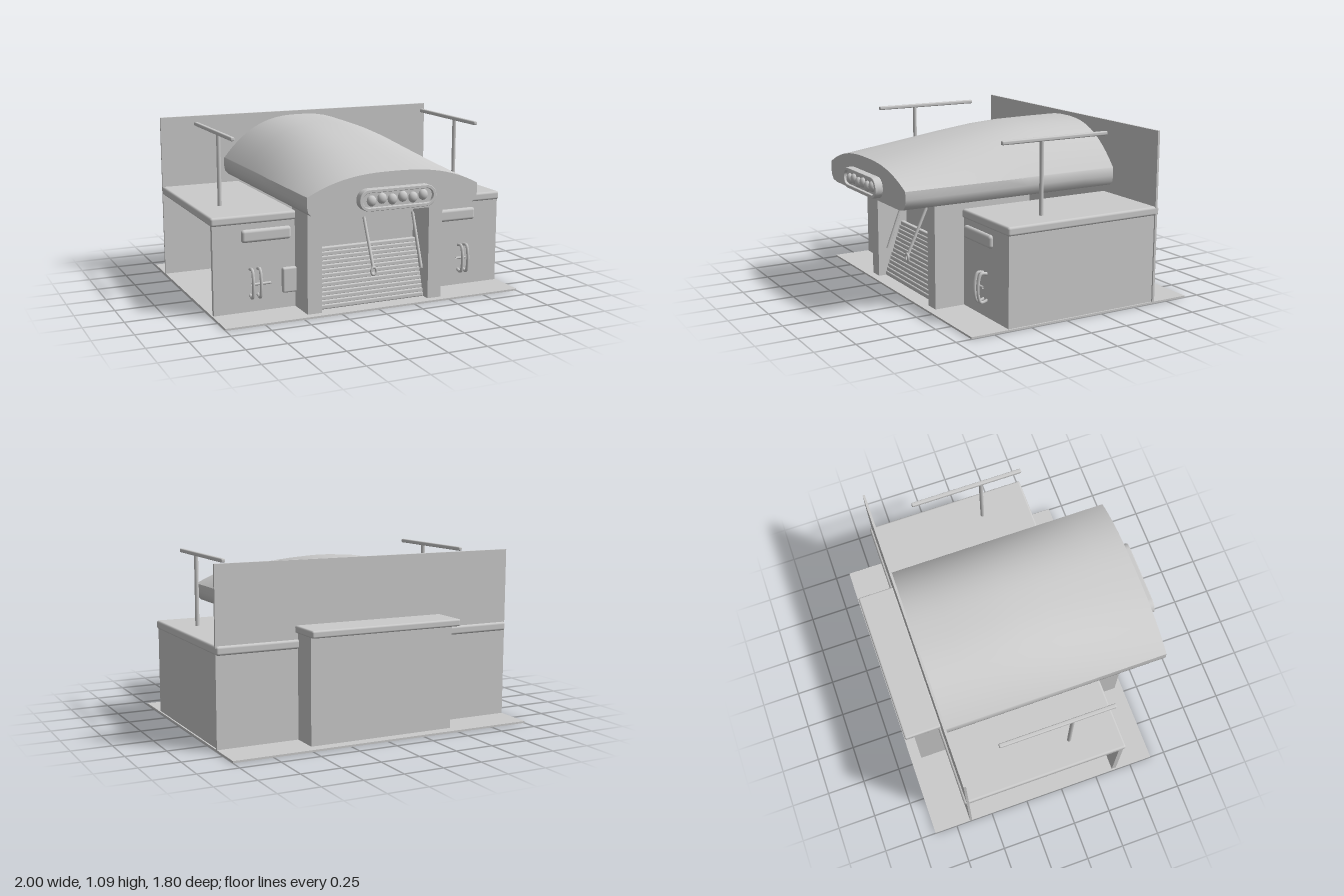
import * as THREE from 'three';
import { RoundedBoxGeometry } from 'three/addons/geometries/RoundedBoxGeometry.js';
import { toCreasedNormals } from 'three/addons/utils/BufferGeometryUtils.js';

const grey = new THREE.MeshStandardMaterial({ color: 0xcccccc, side: THREE.DoubleSide });

export function createModel() {
  const group = new THREE.Group();

  const add = (name, geometry, x = 0, y = 0, z = 0) => {
    const mesh = new THREE.Mesh(geometry, grey);
    mesh.name = name;
    mesh.position.set(x, y, z);
    group.add(mesh);
    return mesh;
  };
  // Box given by its limits, with optional rounded edges
  const box = (name, x0, x1, y0, y1, z0, z1, r = 0) => add(name,
    r ? new RoundedBoxGeometry(x1 - x0, y1 - y0, z1 - z0, 3, r)
      : new THREE.BoxGeometry(x1 - x0, y1 - y0, z1 - z0),
    (x0 + x1) / 2, (y0 + y1) / 2, (z0 + z1) / 2);
  // Mirrored box, limits given for the +x side
  const pair = (name, x0, x1, ...rest) => {
    box(name + 'Left', x0, x1, ...rest);
    box(name + 'Right', -x1, -x0, ...rest);
  };
  // Round bar between two points
  const rod = (name, a, b, r) => add(name, new THREE.TubeGeometry(
    new THREE.LineCurve3(new THREE.Vector3(...a), new THREE.Vector3(...b)), 1, r, 10));

  // Ground plate and back wall
  box('groundPlate', -1, 1, 0, 0.012, -0.9, 0.65);
  box('backWall', -1, 1, 0.01, 1.09, -0.655, -0.64);

  // Side wings: the right one is open on its outer side
  box('leftWing', 0.45, 0.99, 0.01, 0.58, -0.65, 0.4);
  box('rightWingFront', -0.99, -0.45, 0.01, 0.58, 0.37, 0.4);
  box('rightWingInnerWall', -0.46, -0.44, 0.01, 0.6, -0.65, 0.4);
  pair('wingRoof', 0.45, 1, 0.565, 0.62, -0.67, 0.41, 0.015);

  // Rear annex with its overhanging cap
  box('rearAnnex', -0.48, 0.48, 0.01, 0.67, -0.83, -0.65);
  box('rearAnnexCap', -0.505, 0.5, 0.66, 0.705, -0.89, -0.65, 0.012);

  // Gate: pillars, back panel, lintel
  pair('gatePillar', 0.365, 0.46, 0.01, 0.68, 0.36, 0.6);
  box('gatePanel', -0.37, 0.37, 0.01, 0.68, 0.37, 0.39);
  box('gateLintel', -0.37, 0.37, 0.645, 0.68, 0.38, 0.6);

  // Lower shutter of leaning horizontal slats
  const slats = 14;
  for (let i = 0; i < slats; i++) {
    const slat = box('shutterSlat', -0.36, 0.36, 0, 0.03, 0, 0.03, 0.008);
    slat.position.y = 0.03 + i * 0.0255;
    slat.position.z = 0.54 - i * 0.009;
  }
  // Guide rails and hanging pull rod
  for (const s of [-1, 1]) rod('guideRail', [s * 0.35, 0.54, 0.41], [s * 0.35, 0.2, 0.54], 0.01);
  rod('pullRod', [0, 0.54, 0.42], [0, 0.24, 0.56], 0.01);
  const hook = add('pullHook', new THREE.TorusGeometry(0.018, 0.007, 8, 16), 0, 0.225, 0.565);
  hook.scale.y = 1.3;

  // Arched canopy: cross-sections lofted from front to back
  const section = (top) => {
    const right = [[0.48, 0.665], [0.53, 0.675], [0.555, 0.7], [0.563, 0.74], [0.56, 0.79]];
    const arc = [];
    const n = 28;
    for (let i = 1; i < n; i++) {
      const x = 0.56 * Math.cos((i / n) * Math.PI);
      arc.push([-x, 0.79 + (top - 0.79) * (1 - Math.pow(Math.abs(x) / 0.56, 2.6))]);
    }
    return [...right, ...arc.reverse(), ...right.map(([x, y]) => [-x, y]).reverse()];
  };
  const stations = [[0.84, 0.905], [0.62, 0.945], [0.4, 0.983], [0.2, 1.015], [0, 1.043],
    [-0.2, 1.058], [-0.42, 1.062], [-0.648, 1.064]];
  const positions = [], index = [];
  const count = section(1).length;
  stations.forEach(([z, top], k) => {
    for (const [x, y] of section(top)) positions.push(x, y, z);
    if (!k) return;
    for (let j = 0; j < count; j++) {
      const a = (k - 1) * count + j, b = (k - 1) * count + (j + 1) % count;
      index.push(a, a + count, b, b, a + count, b + count);
    }
  });
  const shell = new THREE.BufferGeometry();
  shell.setAttribute('position', new THREE.Float32BufferAttribute(positions, 3));
  shell.setIndex(index);
  add('canopyShell', toCreasedNormals(shell, 0.7));
  const face = new THREE.Shape(section(0.905).map(([x, y]) => new THREE.Vector2(x, y)));
  add('canopyFront', new THREE.ShapeGeometry(face), 0, 0, 0.84);

  // Plaque on the canopy front: raised rim, inset panel, plain bumps
  const stadium = (w, r, Type) => {
    const s = new Type();
    s.absarc(w, 0, r, -Math.PI / 2, Math.PI / 2, false);
    s.absarc(-w, 0, r, Math.PI / 2, Math.PI * 1.5, false);
    s.closePath();
    return s;
  };
  const rim = stadium(0.187, 0.062, THREE.Shape);
  rim.holes.push(stadium(0.187, 0.047, THREE.Path));
  const bevel = { bevelThickness: 0.005, bevelSize: 0.003, bevelSegments: 2, curveSegments: 16 };
  add('plaqueRim', new THREE.ExtrudeGeometry(rim, { depth: 0.045, ...bevel }), 0, 0.75, 0.84);
  add('plaquePanel', new THREE.ExtrudeGeometry(stadium(0.187, 0.05, THREE.Shape),
    { depth: 0.03, bevelEnabled: false, curveSegments: 16 }), 0, 0.75, 0.84);
  for (let i = 0; i < 6; i++) {
    const bump = add('plaqueBump', new THREE.SphereGeometry(0.03, 14, 10),
      -0.17 + i * 0.068, 0.75 + (i % 2 ? 0.005 : -0.005), 0.872);
    bump.scale.set(1, 1.1, 0.8);
  }

  // Wing fronts: rounded awning bars and loop handles
  pair('awningBar', 0.49, 0.81, 0.45, 0.53, 0.385, 0.425, 0.019);
  const handle = (x) => {
    const points = [[0.39, 0.12], [0.44, 0.11], [0.458, 0.15], [0.458, 0.24], [0.44, 0.285], [0.39, 0.28]];
    const curve = new THREE.CatmullRomCurve3(points.map(([z, y]) => new THREE.Vector3(x, y, z)));
    add('handle', new THREE.TubeGeometry(curve, 32, 0.01, 8));
  };
  for (const x of [-0.755, -0.705, 0.7, 0.74]) handle(x);
  rod('handleBarRight', [-0.755, 0.19, 0.425], [-0.63, 0.19, 0.425], 0.008);
  rod('handleBarLeft', [0.67, 0.2, 0.425], [0.74, 0.2, 0.425], 0.008);
  box('sideBox', -0.55, -0.455, 0.11, 0.27, 0.39, 0.425, 0.012);

  // Roof posts with long crossbars
  for (const s of [-1, 1]) {
    rod('roofPost', [s * 0.835, 0.6, 0.085], [s * 0.835, 1.08, 0.085], 0.013);
    const x = s * 0.835;
    box('roofCrossbar', x - 0.013, x + 0.013, 1.063, 1.088, -0.38, 0.36, 0.008);
  }
  return group;
}
